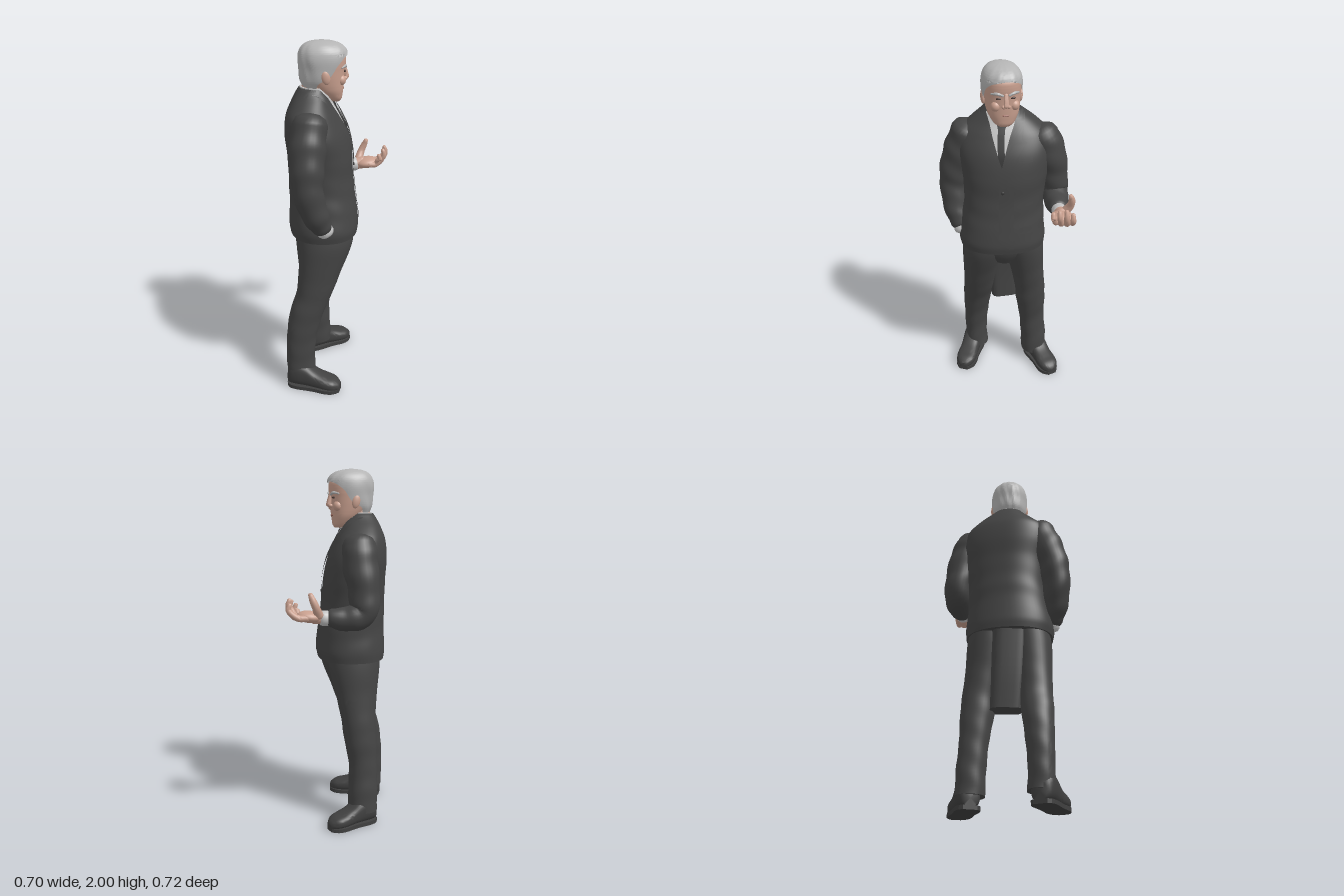
import * as THREE from 'three';
import { mergeVertices, toCreasedNormals } from 'three/addons/utils/BufferGeometryUtils.js';

const mat = (name, color) => {
  const m = new THREE.MeshStandardMaterial({ color, side: THREE.DoubleSide });
  m.name = name;
  return m;
};

export function createModel() {
  const root = new THREE.Group();
  root.name = 'standingManInSuit';
  const suit = mat('suitCharcoal', 0x454545), shoe = mat('shoeCharcoal', 0x404040);
  const tieMat = mat('tieDark', 0x363636), skin = mat('skin', 0xc9a08f);
  const lip = mat('lip', 0x9a6a5e), eye = mat('eyeDark', 0x4a3a35);
  const hair = mat('hairSilver', 0xb4b4b4), shirt = mat('shirtGrey', 0xc2c2c2);

  const add = (name, geo, m, parent = root) => {
    const mesh = new THREE.Mesh(geo, m);
    mesh.name = name;
    parent.add(mesh);
    return mesh;
  };

  // Surface from a rule f(u, j): u runs 0..1 around, j counts the rows
  const grid = (nu, nv, f) => {
    const pos = [], idx = [];
    for (let j = 0; j <= nv; j++) for (let i = 0; i <= nu; i++) pos.push(...f(i / nu, j));
    for (let j = 0; j < nv; j++) for (let i = 0; i < nu; i++) {
      const a = j * (nu + 1) + i, b = a + nu + 1;
      idx.push(a, b, a + 1, a + 1, b, b + 1);
    }
    const g = new THREE.BufferGeometry();
    g.setAttribute('position', new THREE.Float32BufferAttribute(pos, 3));
    g.setIndex(idx);
    return toCreasedNormals(mergeVertices(g, 1e-5), 0.9);
  };

  // Smooth interpolation between table rows keyed by their first column
  const interp = (rows, t) => {
    let k = 0;
    while (k < rows.length - 2 && t > rows[k + 1][0]) k++;
    const slope = (i, c) => {
      const p = rows[Math.max(i - 1, 0)], q = rows[Math.min(i + 1, rows.length - 1)];
      return (q[c] - p[c]) / (q[0] - p[0]);
    };
    const A = rows[k], B = rows[k + 1], d = B[0] - A[0], s = (t - A[0]) / d;
    const s2 = s * s, s3 = s2 * s;
    return A.map((a, c) => c === 0 ? t : a * (2 * s3 - 3 * s2 + 1) + B[c] * (3 * s2 - 2 * s3)
      + d * (slope(k, c) * (s3 - 2 * s2 + s) + slope(k + 1, c) * (s3 - s2)));
  };

  // Point on a stacked body: rows are [y, cx, cz, depth, width, yaw]
  const ringPoint = (rows, y, th, e, scale = 1, off = 0) => {
    const [, cx, cz, rx, rz, yaw = 0] = interp(rows, y);
    const pw = (v) => Math.sign(v) * Math.abs(v) ** (2 / e);
    const lx = pw(Math.cos(th)) * (rx * scale + off), lz = pw(Math.sin(th)) * (rz * scale + off);
    return [cx + lx * Math.cos(yaw) - lz * Math.sin(yaw), y, cz + lx * Math.sin(yaw) + lz * Math.cos(yaw)];
  };
  const loft = (rows, { n = 40, m = 36, e = 2, bump = () => 0, start = () => 0 } = {}) => {
    const y0 = rows[0][0], y1 = rows[rows.length - 1][0];
    return grid(n, m + 2, (u, j) => {
      const y = y0 + (y1 - y0) * Math.min(Math.max(j - 1, 0), m) / m;
      const a = start(y), th = a + u * (2 * Math.PI - 2 * a);
      const s = j === 0 || j === m + 2 ? 0 : 1 + bump(th, y);
      return ringPoint(rows, y, th, e, s);
    });
  };

  // Rounded limb through points [x, y, z, radius]
  const limb = (pts, { n = 20, m = 28, fold = 0 } = {}) => {
    const curve = new THREE.CatmullRomCurve3(pts.map((p) => new THREE.Vector3(p[0], p[1], p[2])));
    const fr = curve.computeFrenetFrames(m);
    const rad = pts.map((p, i) => [i / (pts.length - 1), p[3]]);
    return grid(n, m + 6, (u, j) => {
      const k = Math.min(Math.max(j - 3, 0), m);
      const over = Math.max(3 - j, j - 3 - m, 0) / 3 * Math.PI / 2;
      const t = curve.getUtoTmapping(k / m), a = u * Math.PI * 2;
      const r = interp(rad, t)[1], w = r * Math.cos(over) * (1 + fold * Math.sin(t * 30 + 2 * Math.sin(a)));
      return curve.getPoint(t)
        .addScaledVector(fr.tangents[k], Math.sin(over) * r * 0.6 * (j < 3 ? -1 : 1))
        .addScaledVector(fr.normals[k], Math.cos(a) * w)
        .addScaledVector(fr.binormals[k], -Math.sin(a) * w).toArray();
    });
  };
  const ball = (name, m, p, s, parent = root) => {
    const b = add(name, new THREE.SphereGeometry(1, 24, 16), m, parent);
    b.position.set(...p);
    b.scale.set(...s);
    return b;
  };

  // Jacket body, turned a little towards the pocket hand
  const E = 2.3;
  const torso = [
    [0.95, -0.085, 0.02, 0.188, 0.242, 0.16], [1.0, -0.085, 0.022, 0.195, 0.248, 0.18],
    [1.1, -0.087, 0.018, 0.187, 0.236, 0.2], [1.25, -0.095, 0.008, 0.178, 0.225, 0.24],
    [1.4, -0.1, 0, 0.175, 0.24, 0.27], [1.52, -0.118, 0, 0.166, 0.258, 0.29],
    [1.62, -0.137, 0, 0.138, 0.238, 0.29], [1.68, -0.143, 0.002, 0.11, 0.178, 0.25],
    [1.73, -0.143, 0.01, 0.086, 0.115, 0.18], [1.76, -0.14, 0.015, 0.07, 0.085, 0.1],
  ];
  add('jacketBody', loft(torso, {
    n: 64, m: 60, e: E,
    bump: (th, y) => 0.008 * Math.sin(y * 45 + 3 * Math.cos(th)) * Math.max(0, 1 - Math.abs(y - 1.2) * 4),
  }), suit);

  // Thin plate lying on the jacket between two sideways limits
  const plate = (name, m, y0, y1, lo, hi, off) => add(name, grid(8, 24, (u, j) => {
    const y = y0 + (y1 - y0) * j / 24, rz = interp(torso, y)[4];
    const s = Math.min(Math.max((lo(y) + (hi(y) - lo(y)) * u) / rz, -1), 1);
    return ringPoint(torso, y, Math.asin(Math.sign(s) * Math.abs(s) ** (E / 2)), E, 1, off);
  }), m);
  const vee = (y) => Math.max(0, (y - 1.47) * 0.3);
  plate('shirtFront', shirt, 1.47, 1.74, (y) => -vee(y), vee, 0.004);
  plate('tie', tieMat, 1.45, 1.69, () => -0.018, () => 0.018, 0.007);
  plate('tieKnot', tieMat, 1.66, 1.71, (y) => -0.3 * (y - 1.6), (y) => 0.3 * (y - 1.6), 0.011);
  const lapel = (y) => vee(y) + (y < 1.6 ? 0.012 + (y - 1.36) * 0.35 : 0.07 - (y - 1.6) * 0.25);
  plate('lapelRight', suit, 1.36, 1.74, vee, lapel, 0.009);
  plate('lapelLeft', suit, 1.36, 1.74, (y) => -lapel(y), (y) => -vee(y), 0.009);
  plate('frontOverlap', suit, 0.99, 1.37, () => -0.06, (y) => 0.02 - Math.max(0, 1.05 - y) * 0.9, 0.005);
  plate('breastPocket', suit, 1.5, 1.525, () => -0.16, () => -0.09, 0.007);
  plate('leftPocketFlap', suit, 1.08, 1.12, () => -0.19, () => -0.09, 0.007);
  ball('button', tieMat, ringPoint(torso, 1.33, 0, E, 1, 0.006), [0.004, 0.009, 0.009]);

  // Sleeves
  add('rightSleeve', limb([[-0.18, 1.61, 0.19, 0.09], [-0.2, 1.5, 0.225, 0.098], [-0.21, 1.38, 0.262, 0.09],
    [-0.21, 1.27, 0.277, 0.08], [-0.175, 1.14, 0.272, 0.073], [-0.135, 1.055, 0.255, 0.058]], { n: 28, m: 40, fold: 0.03 }), suit);
  add('leftSleeve', limb([[-0.065, 1.6, -0.2, 0.09], [-0.06, 1.5, -0.235, 0.096], [-0.07, 1.36, -0.268, 0.085],
    [-0.06, 1.245, -0.28, 0.077], [0.02, 1.215, -0.272, 0.068], [0.11, 1.222, -0.257, 0.05]], { n: 28, m: 40, fold: 0.03 }), suit);

  // Pocketed hand and its cuff
  add('rightCuff', limb([[-0.14, 1.07, 0.258, 0.045], [-0.115, 1.025, 0.25, 0.048]], { m: 6 }), shirt);
  add('pocketBulge', limb([[-0.1, 1.04, 0.22, 0.05], [-0.06, 0.995, 0.195, 0.05]], { m: 8 }), suit);

  // Open left hand, palm up
  add('leftCuff', limb([[0.09, 1.22, -0.257, 0.042], [0.155, 1.222, -0.254, 0.041]], { m: 6 }), shirt);
  const hand = new THREE.Group();
  hand.name = 'leftHand';
  root.add(hand);
  add('wrist', limb([[0.14, 1.222, -0.254, 0.034], [0.2, 1.23, -0.25, 0.036]], { m: 6 }), skin, hand);
  ball('palm', skin, [0.225, 1.232, -0.245], [0.068, 0.032, 0.06], hand).rotation.z = 0.1;
  [[-0.285, 0.272, 0.342, 1.305, -0.272], [-0.256, 0.278, 0.335, 1.325, -0.238],
    [-0.227, 0.27, 0.318, 1.315, -0.206], [-0.202, 0.252, 0.288, 1.292, -0.18]].forEach(([z, bx, tx, ty, tz], i) =>
    add('finger' + (i + 1), limb([[bx - 0.03, 1.23, z, 0.018], [bx + 0.02, 1.232, z + 0.004, 0.018],
      [tx - 0.008, 1.262, (z + tz) / 2 + 0.004, 0.016], [tx, ty - 0.03, tz, 0.0145], [tx - 0.008, ty, tz, 0.011]], { n: 12, m: 14 }), skin, hand));
  add('thumb', limb([[0.18, 1.24, -0.275, 0.026], [0.2, 1.285, -0.298, 0.021],
    [0.218, 1.325, -0.298, 0.018], [0.228, 1.356, -0.288, 0.012]], { n: 12, m: 14 }), skin, hand);

  // Trousers: one leg set back, one forward
  const creases = (th, y) => 0.022 * Math.sin(y * 48 + 2.5 * Math.sin(th)) * Math.max(0, 1 - y * 1.1);
  const legs = {
    right: [[0.075, -0.25, 0.165, 0.085, 0.07], [0.2, -0.255, 0.167, 0.083, 0.068], [0.35, -0.243, 0.163, 0.088, 0.075],
      [0.5, -0.208, 0.158, 0.098, 0.085], [0.6, -0.168, 0.154, 0.102, 0.09], [0.75, -0.13, 0.148, 0.122, 0.1],
      [0.9, -0.098, 0.138, 0.15, 0.115], [1.0, -0.09, 0.12, 0.16, 0.12]],
    left: [[0.075, -0.1, -0.185, 0.085, 0.077], [0.2, -0.103, -0.182, 0.083, 0.078], [0.35, -0.105, -0.17, 0.08, 0.078],
      [0.5, -0.093, -0.156, 0.092, 0.09], [0.6, -0.085, -0.148, 0.096, 0.092], [0.75, -0.078, -0.125, 0.116, 0.1],
      [0.9, -0.073, -0.103, 0.142, 0.116], [1.0, -0.072, -0.09, 0.15, 0.118]],
  };
  for (const side in legs) add(side + 'TrouserLeg', loft(legs[side], { m: 48, e: 2.2, bump: creases }), suit);
  add('hips', loft([[0.83, -0.085, 0.015, 0.1, 0.08], [0.9, -0.085, 0.018, 0.14, 0.17], [1.0, -0.085, 0.02, 0.17, 0.22]], { m: 12 }), suit);
  // Hanging panel between the legs
  add('coatTail', loft([[0.515, -0.15, -0.005, 0.06, 0.085], [0.7, -0.155, 0.005, 0.075, 0.09],
    [0.96, -0.15, 0.015, 0.1, 0.1]], { m: 10, e: 4 }), suit);

  // Shoes: rows are [along, half width, height]
  const shoeRows = [[0, 0.035, 0.09], [0.06, 0.054, 0.13], [0.2, 0.062, 0.155], [0.38, 0.059, 0.135], [0.55, 0.058, 0.098],
    [0.75, 0.062, 0.075], [0.9, 0.052, 0.062], [1, 0.024, 0.04]];
  const pw = (v, e) => Math.sign(v) * Math.abs(v) ** e;
  const makeShoe = (name, x, z, yaw, len) => {
    const g = new THREE.Group();
    g.name = name;
    add('upper', grid(32, 30, (u, j) => {
      const s = Math.min(Math.max(j - 1, 0), 28) / 28, a = u * Math.PI * 2;
      const [, w, h] = interp(shoeRows, s), k = j === 0 || j === 30 ? 0 : 1;
      return [s * len, 0.012 + h / 2 * (1 + k * pw(Math.sin(a), 0.75)), k * w * pw(Math.cos(a), 0.75)];
    }), shoe, g);
    const outline = [];
    for (let i = 0; i <= 20; i++) outline.push(new THREE.Vector2(i / 20 * len, interp(shoeRows, i / 20)[1] + 0.002));
    const sole = new THREE.Shape([...outline, ...outline.map((p) => new THREE.Vector2(p.x, -p.y)).reverse()]);
    add('sole', new THREE.ExtrudeGeometry(sole, { depth: 0.022, bevelEnabled: false }).rotateX(-Math.PI / 2), shoe, g);
    g.position.set(x, 0, z);
    g.rotation.y = -yaw;
    root.add(g);
  };
  makeShoe('rightShoe', -0.325, 0.15, 0.47, 0.315);
  makeShoe('leftShoe', -0.17, -0.18, -0.27, 0.3);

  // Neck and shirt collar
  add('neck', limb([[-0.14, 1.68, 0.015, 0.072], [-0.115, 1.8, 0.02, 0.072]], { m: 8 }), skin);
  add('shirtCollar', loft([[1.68, -0.12, 0.018, 0.088, 0.095], [1.73, -0.122, 0.018, 0.083, 0.086],
    [1.765, -0.128, 0.018, 0.078, 0.08]], { m: 8 }), shirt);

  // Head and features
  const head = new THREE.Group();
  head.name = 'head';
  head.position.z = 0.02;
  root.add(head);
  const face = [[1.682, -0.018, 0, 0.022, 0.03], [1.695, -0.025, 0, 0.04, 0.05], [1.72, -0.04, 0, 0.06, 0.068],
    [1.75, -0.056, 0, 0.08, 0.083], [1.8, -0.075, 0, 0.103, 0.094], [1.85, -0.083, 0, 0.115, 0.099],
    [1.88, -0.084, 0, 0.121, 0.1], [1.93, -0.085, 0, 0.118, 0.097], [1.965, -0.085, 0, 0.08, 0.07]];
  add('face', loft(face, { e: 2.25 }), skin, head);
  add('nose', limb([[0.028, 1.868, 0, 0.011], [0.037, 1.835, 0, 0.013], [0.043, 1.806, 0, 0.015]], { n: 14, m: 10 }), skin, head);
  add('mouth', limb([[0.004, 1.757, -0.036, 0.004], [0.025, 1.75, 0, 0.006], [0.004, 1.757, 0.036, 0.004]], { n: 8, m: 12 }), lip, head);
  ball('chin', skin, [-0.006, 1.712, 0], [0.024, 0.022, 0.03], head);
  for (const s of [-1, 1]) {
    ball('ear', skin, [-0.085, 1.825, s * 0.1], [0.023, 0.038, 0.013], head).rotation.z = 0.2;
    ball('nostril', skin, [0.034, 1.802, s * 0.014], [0.013, 0.01, 0.01], head);
    ball('cheek', skin, [0.004, 1.8, s * 0.05], [0.026, 0.028, 0.026], head);
    ball('eye', eye, [0.025, 1.845, s * 0.038], [0.008, 0.006, 0.014], head);
    add('brow', limb([[0.035, 1.862, s * 0.016, 0.006], [0.028, 1.872, s * 0.045, 0.008],
      [0.004, 1.866, s * 0.072, 0.005]], { n: 10, m: 12 }), hair, head);
  }

  // Combed-back hair, open around the face and ears
  const hairline = [[1.765, -0.13], [1.795, -0.115], [1.815, -0.075], [1.85, -0.045], [1.88, -0.025], [1.915, 0.015], [1.94, 0.06]];
  const hairRows = [[1.765, -0.112, 0, 0.078, 0.08], [1.8, -0.098, 0, 0.107, 0.098], [1.86, -0.086, 0, 0.124, 0.106],
    [1.91, -0.083, 0, 0.131, 0.109], [1.95, -0.082, 0, 0.124, 0.1], [1.98, -0.086, 0, 0.096, 0.076],
    [1.994, -0.09, 0, 0.06, 0.046], [2.0, -0.09, 0, 0.02, 0.016]];
  add('hair', loft(hairRows, {
    n: 72, m: 48, e: 2.1,
    bump: (th, y) => 0.014 * Math.sin(Math.sin(th) * 16 + y * 30),
    start: (y) => {
      const [, cx, , rx] = interp(hairRows, y), h = y > 1.935 ? 1 : interp(hairline, y)[1];
      return Math.acos(Math.min(Math.max((h - cx) / rx, -1), 1));
    },
  }), hair, head);

  return root;
}
